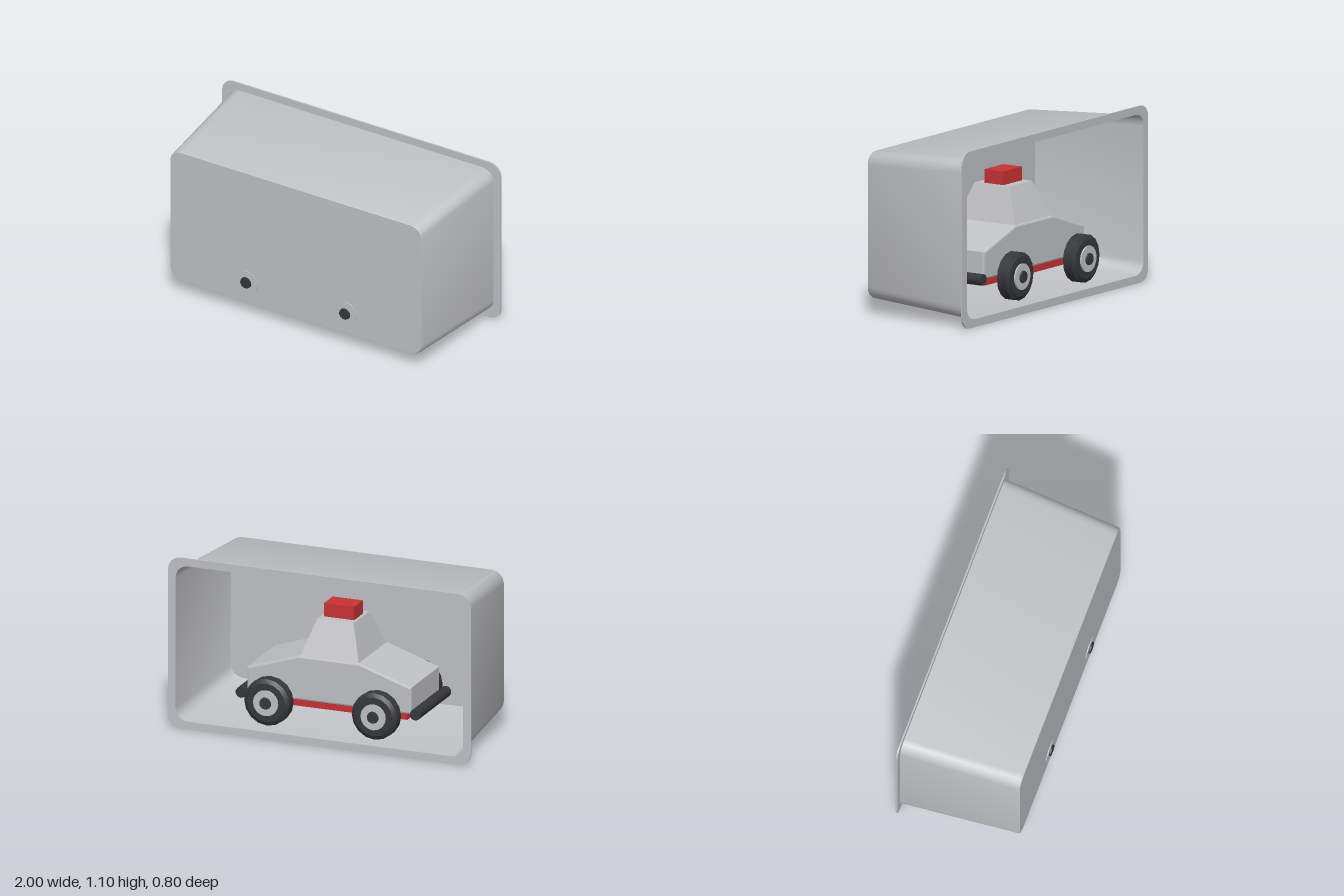
import * as THREE from 'three';
import { toCreasedNormals } from 'three/addons/utils/BufferGeometryUtils.js';

const grey = new THREE.MeshStandardMaterial({ color: 0xc0c1c5, side: THREE.DoubleSide });
grey.name = 'light grey';
const dark = new THREE.MeshStandardMaterial({ color: 0x36373b });
dark.name = 'rubber black';
const red = new THREE.MeshStandardMaterial({ color: 0xc83234 });
red.name = 'signal red';

function add(parent, name, geometry, material, x = 0, y = 0, z = 0) {
  const mesh = new THREE.Mesh(geometry, material);
  mesh.name = name;
  mesh.position.set(x, y, z);
  parent.add(mesh);
  return mesh;
}

// Rounded rectangle outline, counter-clockwise, centred on x = 0
function outline(halfWidth, y0, y1, r, steps = 4) {
  const points = [];
  const corners = [[1, y1 - r], [-1, y1 - r], [-1, y0 + r], [1, y0 + r]];
  corners.forEach(([side, cy], c) => {
    for (let i = 0; i <= steps; i++) {
      const a = (c + i / steps) * Math.PI / 2;
      points.push(new THREE.Vector2(side * (halfWidth - r) + r * Math.cos(a), cy + r * Math.sin(a)));
    }
  });
  return points;
}

// Wall running through outlines placed at successive z positions
function loft(sections) {
  const position = [], index = [];
  const n = sections[0].points.length;
  sections.forEach(({ points, z }) => points.forEach(p => position.push(p.x, p.y, z)));
  for (let s = 0; s < sections.length - 1; s++) {
    for (let i = 0; i < n; i++) {
      const a = s * n + i, b = s * n + (i + 1) % n;
      index.push(a, b, b + n, a, b + n, a + n);
    }
  }
  const g = new THREE.BufferGeometry();
  g.setAttribute('position', new THREE.Float32BufferAttribute(position, 3));
  g.setIndex(index);
  return toCreasedNormals(g, 0.6);
}

function makeTray() {
  const tray = new THREE.Group();
  tray.name = 'tray';
  const opening = outline(0.95, 0.05, 1.05, 0.08);
  const face = outline(0.9, 0.1, 1.005, 0.075);
  add(tray, 'trayWall', loft([
    { points: opening, z: -0.38 },
    { points: outline(0.905, 0.095, 1.01, 0.08), z: 0.377 },
    { points: face, z: 0.385 },
  ]), grey);
  add(tray, 'trayFront', new THREE.ShapeGeometry(new THREE.Shape(face)), grey, 0, 0, 0.385);
  // Flat rim around the opening
  const rim = new THREE.Shape(outline(1, 0, 1.1, 0.08));
  rim.holes.push(new THREE.Path(opening.slice().reverse()));
  add(tray, 'trayRim', new THREE.ExtrudeGeometry(rim, { depth: 0.01, bevelEnabled: false }), grey, 0, 0, -0.385);
  return tray;
}

function makeWheel(x, side) {
  const wheel = new THREE.Group();
  wheel.name = 'wheel';
  const profile = [[0, -0.05], [0.12, -0.05], [0.15, -0.03], [0.15, 0.035], [0.125, 0.05], [0, 0.05]]
    .map(([r, y]) => new THREE.Vector2(r, y));
  const tyre = toCreasedNormals(new THREE.LatheGeometry(profile, 16), 0.5);
  add(wheel, 'tyre', tyre, dark).rotation.x = Math.PI / 2;
  const hub = new THREE.CylinderGeometry(0.082, 0.082, 0.03, 20);
  add(wheel, 'hub', hub, grey, 0, 0, 0.045).rotation.x = Math.PI / 2;
  const cap = new THREE.CylinderGeometry(0.036, 0.042, 0.03, 16);
  add(wheel, 'hubCap', cap, dark, 0, 0, 0.055).rotation.x = Math.PI / 2;
  wheel.position.set(x, 0.235, side * 0.33);
  if (side < 0) wheel.rotation.y = Math.PI;
  return wheel;
}

function makeCar() {
  const car = new THREE.Group();
  car.name = 'toyCar';

  // Body: side profile drawn across the width with a small bevel
  const profile = [[-0.53, 0.24], [0.53, 0.24], [0.53, 0.39], [0.2, 0.5], [-0.2, 0.5], [-0.53, 0.39]];
  const body = new THREE.ExtrudeGeometry(
    new THREE.Shape(profile.map(([x, y]) => new THREE.Vector2(x, y))),
    { depth: 0.44, bevelThickness: 0.012, bevelSize: 0.012, bevelSegments: 2 });
  add(car, 'body', body, grey, 0, 0, -0.22);

  // Cabin: box narrowed towards the roof
  const cabin = new THREE.BoxGeometry(0.4, 0.24, 0.46);
  const p = cabin.attributes.position;
  for (let i = 0; i < p.count; i++) {
    if (p.getY(i) > 0) p.setXYZ(i, p.getX(i) * 0.6, p.getY(i), p.getZ(i) * 0.56);
  }
  cabin.computeVertexNormals();
  add(car, 'cabin', cabin, grey, 0, 0.61, 0);
  add(car, 'roofLight', new THREE.BoxGeometry(0.2, 0.09, 0.14), red, 0, 0.77, 0);

  // Underside
  add(car, 'chassis', new THREE.BoxGeometry(1.02, 0.05, 0.43), red, 0, 0.21, 0);
  add(car, 'underTray', new THREE.BoxGeometry(0.9, 0.02, 0.3), dark, 0, 0.178, 0);

  for (const end of [-1, 1]) {
    const bumper = new THREE.CylinderGeometry(0.035, 0.035, 0.5, 10);
    add(car, 'bumper', bumper, dark, end * 0.575, 0.235, 0).rotation.x = Math.PI / 2;
    add(car, 'bumperMount', new THREE.BoxGeometry(0.06, 0.03, 0.3), dark, end * 0.54, 0.225, 0);
    const axle = new THREE.CylinderGeometry(0.025, 0.025, 0.6, 10);
    add(car, 'axle', axle, dark, end * 0.355, 0.235, 0).rotation.x = Math.PI / 2;
    for (const side of [-1, 1]) car.add(makeWheel(end * 0.355, side));
  }
  return car;
}

export function createModel() {
  const model = new THREE.Group();
  model.name = 'carInTray';
  model.add(makeTray(), makeCar());
  return model;
}
